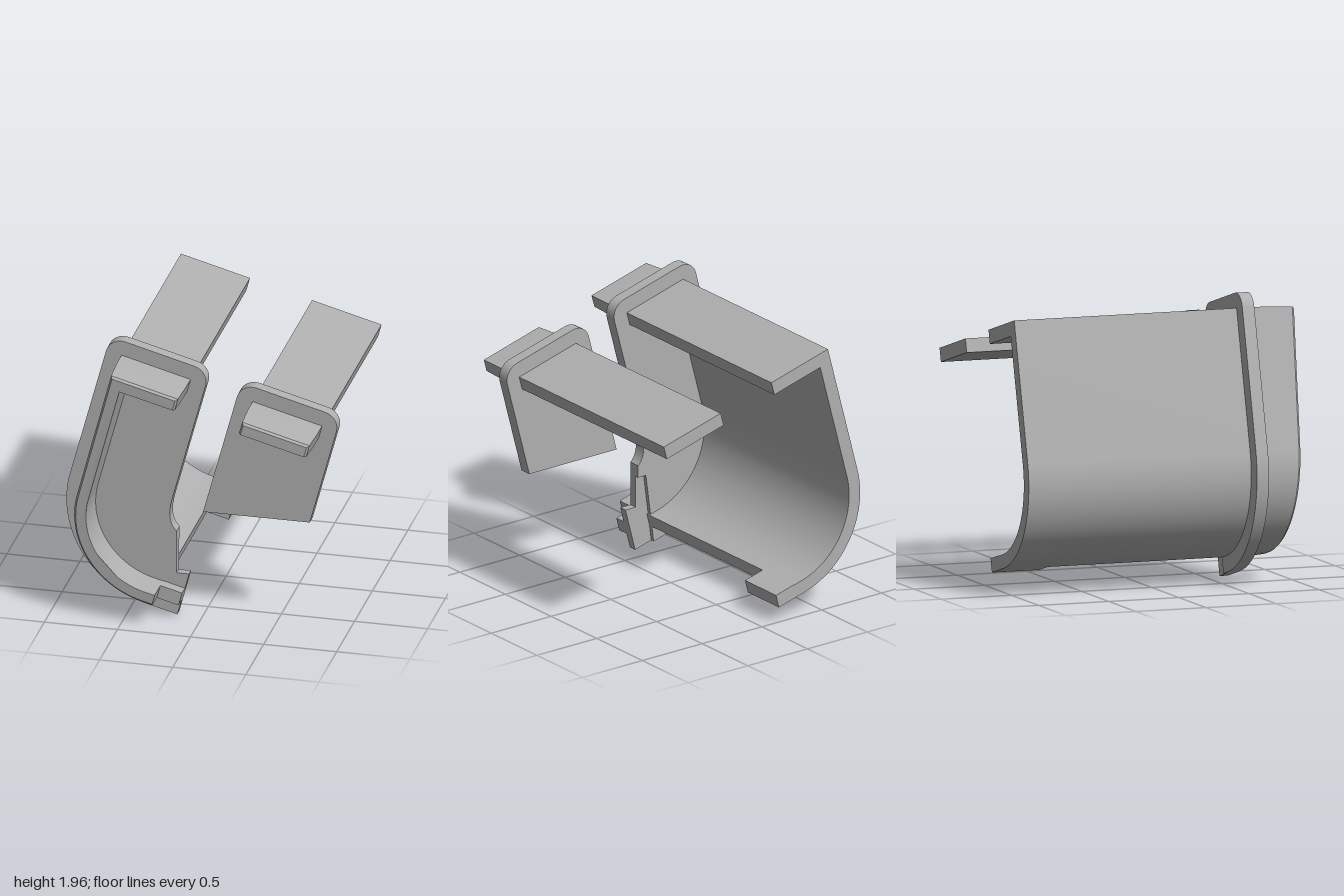
import * as THREE from 'three';
import { toCreasedNormals } from 'three/addons/utils/BufferGeometryUtils.js';

const TILT = Math.PI / 12;
const C = Math.cos(TILT), S = Math.sin(TILT);
// u runs along the tilted top edge, v up the tilted leg
const P = (u, v) => new THREE.Vector2(u * C + v * S, -u * S + v * C);

// bend shared by the plate and the gutter wall
const BEND_U = -0.387, BEND_V = 0.685;
function bend(radius, from, to, n = 24) {
  return Array.from({ length: n + 1 }, (_, i) => {
    const a = from + (to - from) * i / n;
    return P(BEND_U + radius * Math.cos(a), BEND_V + radius * Math.sin(a));
  });
}

// rounded corner in the tilted frame, centred at (u, v)
function corner(u, v, r, from, to) {
  return Array.from({ length: 9 }, (_, i) => {
    const a = from + (to - from) * i / 8;
    return P(u + r * Math.cos(a), v + r * Math.sin(a));
  });
}

// joins rings of equal point count (counter-clockwise, back to front) and caps both ends
function loft(rings) {
  const pos = [];
  const put = (ring, i) => {
    const p = ring.pts[i];
    pos.push(p.x, p.y, ring.z(p.y));
  };
  const n = rings[0].pts.length;
  for (let k = 0; k + 1 < rings.length; k++) {
    const a = rings[k], b = rings[k + 1];
    for (let i = 0; i < n; i++) {
      const j = (i + 1) % n;
      put(a, i); put(a, j); put(b, j);
      put(a, i); put(b, j); put(b, i);
    }
  }
  const first = rings[0], last = rings[rings.length - 1];
  for (const [a, b, c] of THREE.ShapeUtils.triangulateShape(first.pts, [])) {
    put(first, a); put(first, c); put(first, b);
    put(last, a); put(last, b); put(last, c);
  }
  const geo = new THREE.BufferGeometry();
  geo.setAttribute('position', new THREE.Float32BufferAttribute(pos, 3));
  geo.computeVertexNormals();
  return toCreasedNormals(geo, 0.5);
}

// straight prism; accepts outlines in either direction
function prism(pts, z0, z1) {
  const p = THREE.ShapeUtils.isClockWise(pts) ? [...pts].reverse() : pts;
  return loft([{ pts: p, z: () => z0 }, { pts: p, z: () => z1 }]);
}

// long part with a slight draft and a chamfer at the front end
function chamfered(profile, taper) {
  return loft([
    { pts: profile(0), z: () => -1 },
    { pts: profile(0), z: () => 0.8 },
    { pts: profile(0.008), z: y => 0.985 - taper(y) },
    { pts: profile(0.022), z: y => 1 - taper(y) },
  ]);
}

export function createModel() {
  const group = new THREE.Group();
  const grey = new THREE.MeshStandardMaterial({ color: 0xb0b0b0 });
  const add = (name, geo) => {
    const mesh = new THREE.Mesh(geo, grey);
    mesh.name = name;
    group.add(mesh);
  };
  const PI = Math.PI, TOP = 1.746, R = 0.11;
  const Z0 = 0.585, ZMID = 0.612, Z1 = 0.67;

  // curved flange plate: outer edge shared by both layers, up to the inner step
  const throat = new THREE.QuadraticBezierCurve(
    new THREE.Vector2(-0.205, 0.84), new THREE.Vector2(-0.25, 0.67), new THREE.Vector2(-0.175, 0.605));
  const flangeEdge = [
    ...bend(0.733, 1.5 * PI, PI, 32),
    ...corner(-1.12 + R, TOP - R, R, PI, PI / 2),
    ...corner(-0.415 - R, TOP - R, R, PI / 2, 0),
    ...throat.getPoints(10),
  ];
  const V = (x, y) => new THREE.Vector2(x, y);
  add('flangeFront', prism(
    [...flangeEdge, V(-0.175, 0.3), V(-0.09, 0.3), P(-0.164, -0.048)], ZMID, Z1));
  // back layer is cut away behind the lap tongue
  add('flangeBack', prism(
    [...flangeEdge, V(-0.175, 0.52), V(-0.24, 0.52), V(-0.305, 0.032)], Z0, ZMID));

  // curved wall with a folded top, its front end sloping back toward the bottom
  const CUT = -0.318, END = -0.164;
  const wallProfile = i => [
    P(CUT, 0.06 + i),
    ...bend(0.625 - i, 1.5 * PI, PI),
    P(-1.012 + i, 1.643 - i), P(-0.523 - i, 1.643 - i),
    P(-0.523 - i, 1.548), P(-0.92, 1.548),
    ...bend(0.533, PI, 1.5 * PI),
    P(CUT, 0.152),
  ].reverse();
  add('wall', chamfered(wallProfile, y => Math.max(0, 0.062 * (1.7 - y))));

  // tabs that extend the lower lip at the back and beside the flange
  const tab = [P(CUT, 0.06), P(END, 0.06), P(END, 0.155), P(CUT, 0.155)];
  add('backTab', prism(tab, -1, -0.66));
  add('frontTab', prism(tab, ZMID, 0.75));

  // separate plate with a level lower edge
  add('sidePlate', prism([
    V(0.005, 0.765),
    ...corner(-0.193 + R, TOP - R, R, PI, PI / 2),
    ...corner(0.512 - R, TOP - R, R, PI / 2, 0),
    V(0.735, 0.765),
  ], Z0, Z1));

  // flat bar through the separate plate
  const barProfile = i => [
    P(-0.083 + i, 1.546), P(0.409 - i, 1.546), P(0.409 - i, 1.641 - i), P(-0.083 + i, 1.641 - i),
  ];
  add('sideBar', chamfered(barProfile, () => 0));

  return group;
}
